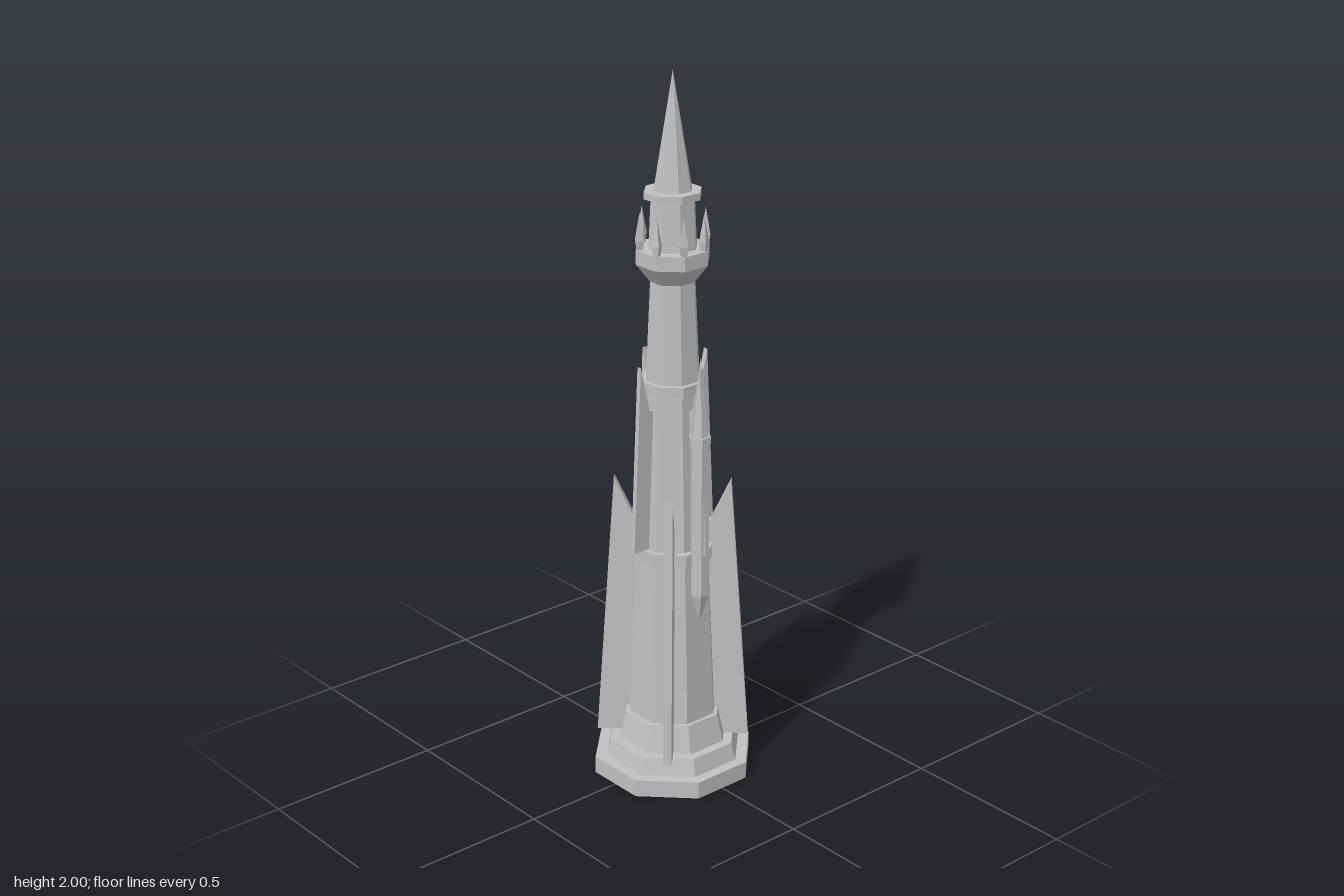
import * as THREE from 'three';

const stone = new THREE.MeshStandardMaterial({ color: 0xc0c0c0 });
stone.name = 'stone';

// Adds a mesh with hard facets
function add(parent, name, geometry) {
  const g = geometry.index ? geometry.toNonIndexed() : geometry;
  g.computeVertexNormals();
  const mesh = new THREE.Mesh(g, stone);
  mesh.name = name;
  parent.add(mesh);
  return mesh;
}

// Upright prism or frustum between y0 and y1; vertices turned by half a side
function frustum(sides, r0, r1, y0, y1) {
  return new THREE.CylinderGeometry(r1, r0, y1 - y0, sides)
    .rotateY(Math.PI / sides)
    .translate(0, (y0 + y1) / 2, 0);
}

// Octagonal tier, sized by the distance to its flats
function tier(parent, name, a0, a1, y0, y1) {
  const k = 1 / Math.cos(Math.PI / 8);
  add(parent, name, frustum(8, a0 * k, a1 * k, y0, y1));
}

// Thin upright plate: profile of [radius, height], turned to face an angle
function fin(parent, name, profile, thickness, angle) {
  const shape = new THREE.Shape(profile.map(([x, y]) => new THREE.Vector2(x, y)));
  const g = new THREE.ExtrudeGeometry(shape, { depth: thickness, bevelEnabled: false });
  g.translate(0, 0, -thickness / 2);
  add(parent, name, g).rotation.y = angle;
}

// Hexagonal hanging turret
function turret(parent, name, z, yBottom, yRing) {
  const t = new THREE.Group();
  t.name = name;
  t.position.z = z;
  add(t, 'turretFoot', frustum(6, 0.001, 0.027, yBottom, yBottom + 0.085));
  add(t, 'turretShaft', frustum(6, 0.027, 0.027, yBottom + 0.085, yRing));
  add(t, 'turretRing', frustum(6, 0.031, 0.031, yRing, yRing + 0.02));
  add(t, 'turretSpire', frustum(6, 0.025, 0, yRing + 0.02, yRing + 0.24));
  parent.add(t);
}

export function createModel() {
  const tower = new THREE.Group();
  tower.name = 'tower';

  // Stacked octagonal body: name, lower and upper size, lower and upper height
  [
    ['plinth', 0.212, 0.212, 0, 0.05],
    ['lowerStep', 0.182, 0.17, 0.05, 0.1],
    ['upperStep', 0.145, 0.128, 0.1, 0.18],
    ['lowerShaft', 0.118, 0.098, 0.18, 0.655],
    ['lowerBand', 0.108, 0.108, 0.655, 0.69],
    ['middleShaft', 0.092, 0.073, 0.69, 1.135],
    ['upperBand', 0.083, 0.083, 1.135, 1.165],
    ['upperShaft', 0.07, 0.058, 1.165, 1.44],
    ['balconyFlare', 0.058, 0.094, 1.44, 1.49],
    ['balcony', 0.094, 0.094, 1.49, 1.53],
    ['lantern', 0.062, 0.056, 1.53, 1.665],
    ['lanternBand', 0.073, 0.073, 1.665, 1.685],
    ['spire', 0.049, 0, 1.685, 2],
  ].forEach((t) => tier(tower, ...t));

  // Four large diagonal buttresses and four smaller ones higher up
  const large = [[0.05, 0.1], [0.213, 0.1], [0.16, 0.875], [0.104, 0.755], [0.05, 0.755]];
  const small = [[0.05, 0.69], [0.143, 0.69], [0.117, 1.22], [0.086, 1.09], [0.05, 1.09]];
  for (let i = 0; i < 4; i++) {
    const angle = (i * Math.PI) / 2;
    fin(tower, 'diagonalButtress', large, 0.024, angle + Math.PI / 4);
    fin(tower, 'upperButtress', small, 0.014, angle);
  }

  // Turrets hung on the front and back
  turret(tower, 'frontTurret', 0.111, 0.48, 1.01);
  turret(tower, 'backTurret', -0.111, 0.36, 0.845);

  // Spiked pinnacles at the balcony corners
  for (let i = 0; i < 8; i++) {
    const angle = (i + 0.5) * (Math.PI / 4);
    const p = new THREE.Group();
    p.name = 'pinnacle';
    add(p, 'pinnacleBase', frustum(4, 0.009, 0.014, 1.525, 1.555));
    add(p, 'pinnacleSpike', frustum(4, 0.014, 0, 1.555, 1.63));
    p.position.set(Math.sin(angle) * 0.091, 0, Math.cos(angle) * 0.091);
    p.rotation.y = angle;
    tower.add(p);
  }
  return tower;
}
